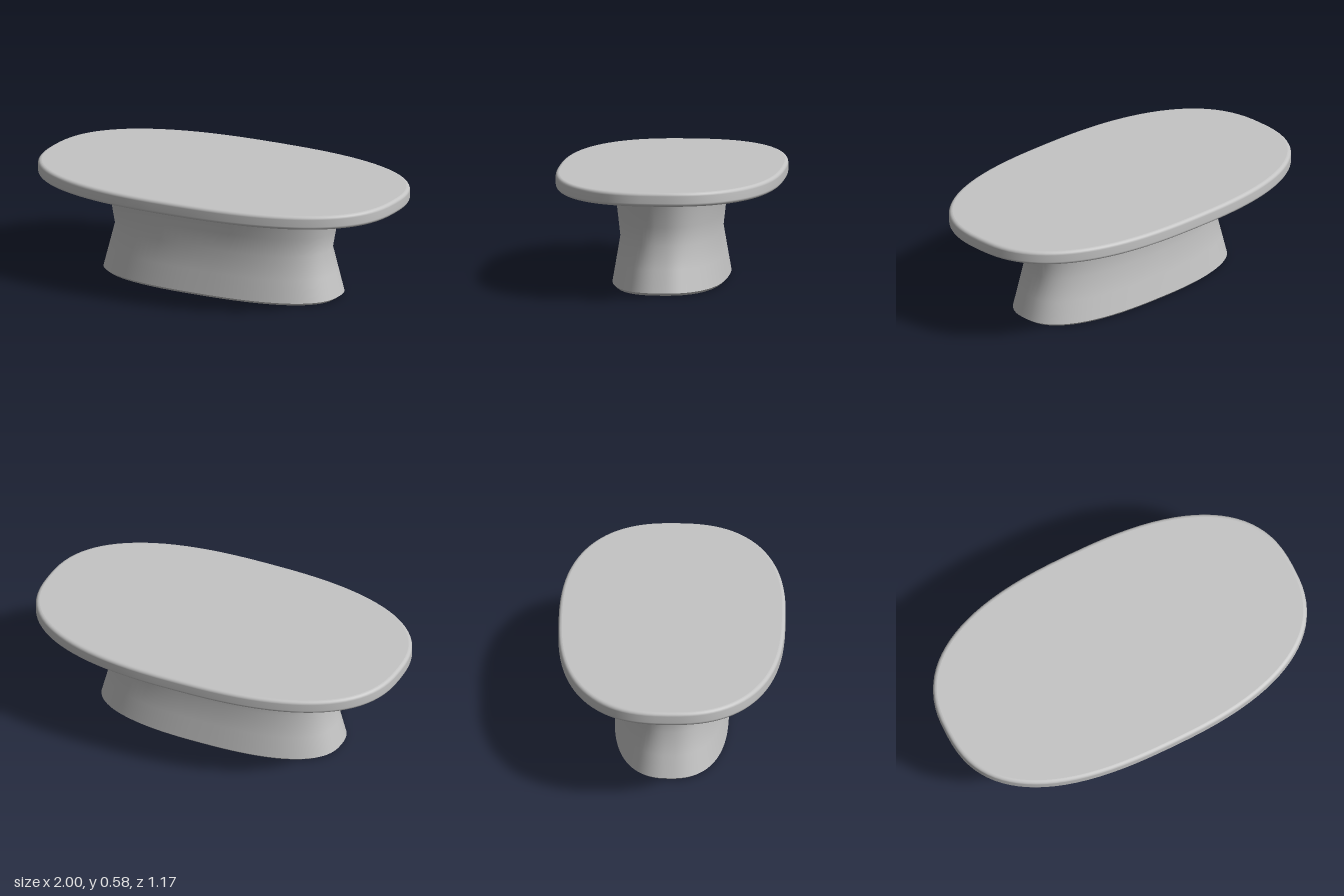
import * as THREE from 'three';

const SEGMENTS = 96;
const EXPONENT = 2.5; // squareness of the oval outline

// Point on a superellipse with half-sizes a (x) and b (z)
function ovalPoint(a, b, j) {
  const t = (j / SEGMENTS) * Math.PI * 2;
  const power = (v) => Math.sign(v) * Math.pow(Math.abs(v), 2 / EXPONENT);
  return [a * power(Math.cos(t)), b * power(Math.sin(t))];
}

// Smooth wall through rings given as [y, halfX, halfZ], bottom to top
function ovalWall(rings) {
  const positions = [];
  const index = [];
  rings.forEach(([y, a, b], i) => {
    for (let j = 0; j < SEGMENTS; j++) {
      const [x, z] = ovalPoint(a, b, j);
      positions.push(x, y, z);
      if (i === rings.length - 1) continue;
      const cur = i * SEGMENTS + j;
      const next = i * SEGMENTS + ((j + 1) % SEGMENTS);
      index.push(cur, cur + SEGMENTS, next, next, cur + SEGMENTS, next + SEGMENTS);
    }
  });
  return finish(positions, index);
}

// Flat oval lid facing up or down
function ovalCap([y, a, b], up) {
  const positions = [0, y, 0];
  const index = [];
  for (let j = 0; j < SEGMENTS; j++) {
    const [x, z] = ovalPoint(a, b, j);
    positions.push(x, y, z);
    const cur = 1 + j;
    const next = 1 + ((j + 1) % SEGMENTS);
    if (up) index.push(0, next, cur);
    else index.push(0, cur, next);
  }
  return finish(positions, index);
}

function finish(positions, index) {
  const geometry = new THREE.BufferGeometry();
  geometry.setAttribute('position', new THREE.Float32BufferAttribute(positions, 3));
  geometry.setIndex(index);
  geometry.computeVertexNormals();
  return geometry;
}

export function createModel() {
  const model = new THREE.Group();
  model.name = 'pedestalTable';
  const grey = new THREE.MeshStandardMaterial({ color: 0xc4c4c4 });
  grey.name = 'light grey';

  const add = (parent, name, geometry) => {
    const mesh = new THREE.Mesh(geometry, grey);
    mesh.name = name;
    parent.add(mesh);
  };

  // Table top: oval slab with rounded rims
  const top = new THREE.Group();
  top.name = 'tableTop';
  model.add(top);
  const low = 0.51, high = 0.583, radius = 0.018, steps = 5;
  const rim = [];
  for (const side of [-1, 1]) {
    for (let i = 0; i <= steps; i++) {
      const t = (i / steps) * (Math.PI / 2);
      const angle = side < 0 ? t - Math.PI / 2 : t;
      const inset = radius * (1 - Math.cos(angle));
      const centre = side < 0 ? low + radius : high - radius;
      rim.push([centre + radius * Math.sin(angle), 1 - inset, 0.583 - inset]);
    }
  }
  add(top, 'tableTopRim', ovalWall(rim));
  add(top, 'tableTopSurface', ovalCap(rim[rim.length - 1], true));
  add(top, 'tableTopUnderside', ovalCap(rim[0], false));

  // Pedestal: waisted oval column with a small chamfer at the floor
  const pedestal = new THREE.Group();
  pedestal.name = 'pedestal';
  model.add(pedestal);
  const foot = [0, 0.648, 0.278];
  const edge = [0.014, 0.667, 0.293];
  add(pedestal, 'pedestalWall', ovalWall([
    edge,
    [0.13, 0.637, 0.273],
    [0.25, 0.606, 0.253],
    [0.35, 0.624, 0.264],
    [0.44, 0.641, 0.274],
    [0.515, 0.664, 0.293],
  ]));
  add(pedestal, 'pedestalChamfer', ovalWall([foot, edge]));
  add(pedestal, 'pedestalBottom', ovalCap(foot, false));

  return model;
}
